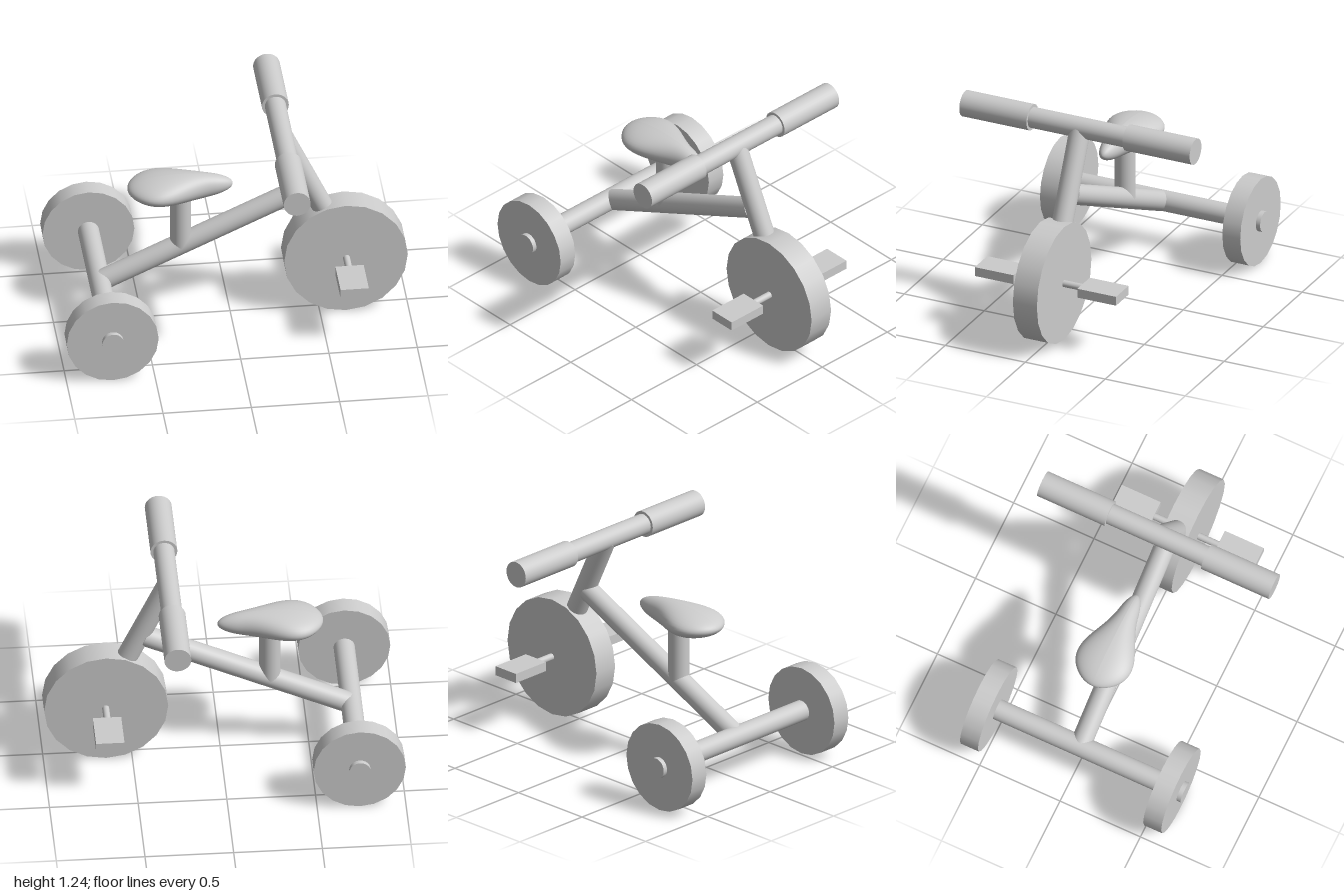
import * as THREE from 'three';

export function createModel() {
  const tricycle = new THREE.Group();
  tricycle.name = 'tricycle';
  const material = new THREE.MeshStandardMaterial({ color: 0xcccccc });

  function add(name, geometry) {
    const mesh = new THREE.Mesh(geometry, material);
    mesh.name = name;
    tricycle.add(mesh);
    return mesh;
  }

  // Closed cylinder running from point a to point b
  function rod(name, a, b, radius, sides = 32) {
    const start = new THREE.Vector3(...a);
    const end = new THREE.Vector3(...b);
    const dir = end.clone().sub(start);
    const mesh = add(name, new THREE.CylinderGeometry(radius, radius, dir.length(), sides));
    mesh.position.copy(start).add(end).multiplyScalar(0.5);
    mesh.quaternion.setFromUnitVectors(new THREE.Vector3(0, 1, 0), dir.normalize());
    return mesh;
  }

  // Cylinder lying along z, given its centre in x, y and its z range
  const crossRod = (name, x, y, z0, z1, radius, sides) =>
    rod(name, [x, y, z0], [x, y, z1], radius, sides);

  // Wheels and rear axle
  crossRod('frontWheel', 0.647, 0.357, -0.071, 0.079, 0.35, 20);
  crossRod('rearAxle', -0.74, 0.264, -0.65, 0.655, 0.06);
  crossRod('rearWheelRight', -0.74, 0.262, 0.517, 0.629, 0.26, 20);
  crossRod('rearWheelLeft', -0.74, 0.262, -0.623, -0.511, 0.26, 20);

  // Frame tubes
  rod('mainTube', [-0.74, 0.26, 0], [0.43, 0.806, 0], 0.06);
  rod('seatPost', [-0.28, 0.47, 0], [-0.28, 0.86, 0], 0.06);
  rod('fork', [0.292, 1.16, 0], [0.647, 0.4, 0], 0.06);

  // Handlebar with grips
  crossRod('handlebar', 0.293, 1.161, -0.4, 0.4, 0.06);
  crossRod('gripRight', 0.293, 1.161, 0.3, 0.72, 0.076);
  crossRod('gripLeft', 0.293, 1.161, -0.72, -0.3, 0.076);

  // Pedals
  crossRod('pedalAxle', 0.65, 0.357, -0.24, 0.25, 0.02, 20);
  for (const [side, z] of [['Right', 0.325], ['Left', -0.316]]) {
    add('pedal' + side, new THREE.BoxGeometry(0.16, 0.055, 0.242)).position.set(0.652, 0.358, z);
  }

  // Saddle: an ellipsoid whose width narrows towards the nose at +x
  const saddle = new THREE.SphereGeometry(1, 40, 32).rotateZ(-Math.PI / 2);
  const p = saddle.attributes.position;
  for (let i = 0; i < p.count; i++) {
    const u = p.getX(i);
    const width = 0.076 + 0.129 * (1 - THREE.MathUtils.smoothstep(u, -0.8, 0.6));
    p.setXYZ(i, u * 0.298, p.getY(i) * 0.0825, p.getZ(i) * width);
  }
  saddle.computeVertexNormals();
  add('saddle', saddle).position.set(-0.283, 0.861, 0);

  return tricycle;
}
